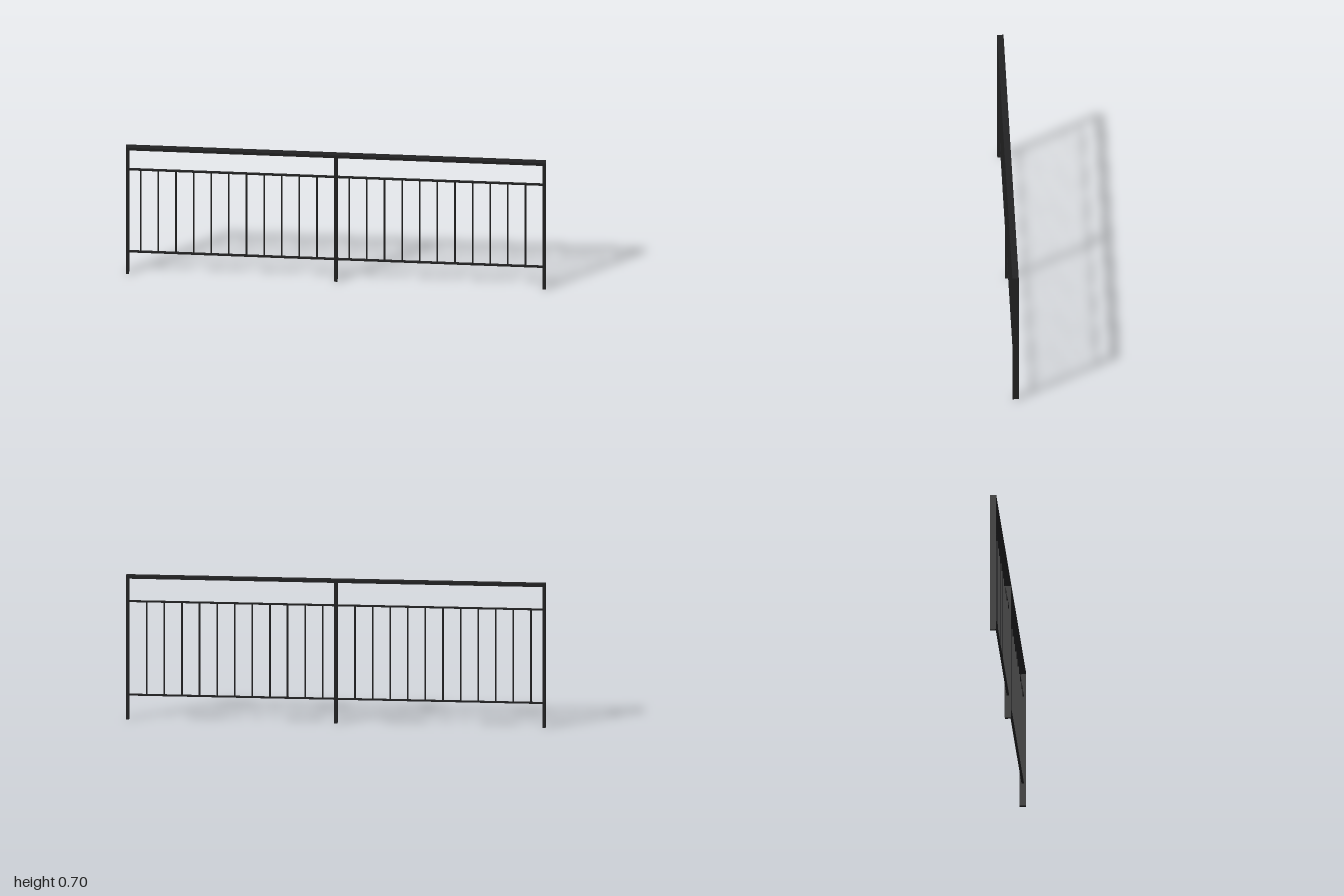
import * as THREE from 'three';

const HEIGHT = 0.703, DEPTH = 0.03, POST = 0.015;
const SPAN = 0.9925; // distance between post centres
const LOWER = 0.118, UPPER = 0.575; // heights of the thin rails

export function createModel() {
  const model = new THREE.Group();
  model.name = 'railing';
  const material = new THREE.MeshStandardMaterial({ color: 0x222223 });

  function box(parent, name, w, h, d, x, y) {
    const mesh = new THREE.Mesh(new THREE.BoxGeometry(w, h, d), material);
    mesh.name = name;
    mesh.position.set(x, y, 0);
    parent.add(mesh);
  }

  // Handrail resting on three posts
  box(model, 'handrail', 2, POST, DEPTH, 0, HEIGHT - POST / 2);
  const postHeight = HEIGHT - POST;
  ['rightPost', 'middlePost', 'leftPost'].forEach((name, i) =>
    box(model, name, POST, postHeight, DEPTH, (i - 1) * SPAN, postHeight / 2));

  // Two identical panels: a pair of thin rails and eleven balusters
  ['rightPanel', 'leftPanel'].forEach((name, i) => {
    const panel = new THREE.Group();
    panel.name = name;
    panel.position.x = (i - 1) * SPAN;
    model.add(panel);
    box(panel, 'lowerRail', SPAN - POST, 0.0075, 0.011, SPAN / 2, LOWER);
    box(panel, 'upperRail', SPAN - POST, 0.0075, 0.011, SPAN / 2, UPPER);
    for (let k = 0; k < 11; k++) {
      box(panel, 'baluster', 0.007, UPPER - LOWER - 0.0075, 0.011,
        0.063 + k * 0.0839, (LOWER + UPPER) / 2);
    }
  });
  return model;
}
